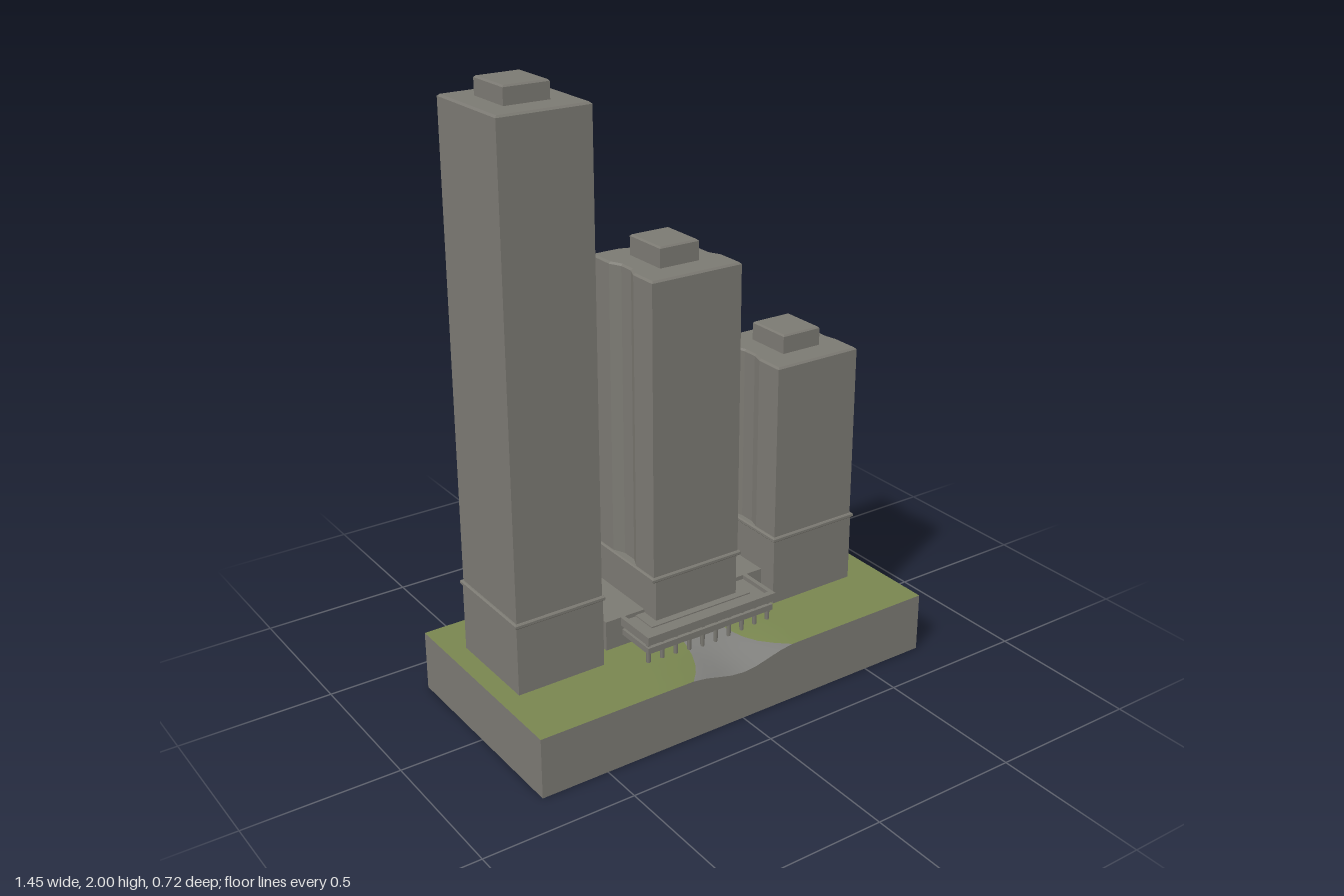
import * as THREE from 'three';

const concrete = new THREE.MeshStandardMaterial({ name: 'concrete', color: 0x7b7972 });
const grass = new THREE.MeshStandardMaterial({ name: 'grass', color: 0x78854f });
const paving = new THREE.MeshStandardMaterial({ name: 'paving', color: 0x80807d });

function add(parent, name, geometry, material = concrete) {
  const mesh = new THREE.Mesh(geometry, material);
  mesh.name = name;
  parent.add(mesh);
  return mesh;
}

// Box given by its limits
function block(parent, name, x0, x1, y0, y1, z0, z1) {
  const geo = new THREE.BoxGeometry(x1 - x0, y1 - y0, z1 - z0);
  geo.translate((x0 + x1) / 2, (y0 + y1) / 2, (z0 + z1) / 2);
  return add(parent, name, geo);
}

// Rectangular floor plan with shallow recesses of given depth in three sides
function plan(x0, x1, z0, z1, { left = 0, right = 0, back = 0 } = {}) {
  const recess = (from, to, nx, ny, depth) => depth === 0 ? [] :
    [[0.3, 0], [0.42, 1], [0.58, 1], [0.7, 0]].map(([t, k]) => new THREE.Vector2(
      from[0] + (to[0] - from[0]) * t + nx * depth * k,
      from[1] + (to[1] - from[1]) * t + ny * depth * k));
  const a = [x0, -z1], b = [x1, -z1], c = [x1, -z0], d = [x0, -z0];
  const v = (p) => new THREE.Vector2(...p);
  return new THREE.Shape([
    v(a), v(b), ...recess(b, c, -1, 0, right),
    v(c), ...recess(c, d, 0, -1, back),
    v(d), ...recess(d, a, 1, 0, left),
  ]);
}

// Plan raised from y0 to y1 with softly bevelled rims
function raise(parent, name, shape, y0, y1, bevel = 0.006) {
  const geo = new THREE.ExtrudeGeometry(shape, {
    depth: y1 - y0 - 2 * bevel, bevelEnabled: true, bevelSegments: 1,
    bevelSize: bevel, bevelOffset: -bevel, bevelThickness: bevel,
  });
  geo.rotateX(-Math.PI / 2).translate(0, y0 + bevel, 0);
  return add(parent, name, geo);
}

// Plinth whose top dips at the middle of the front and back edges
function plinth(parent) {
  const cols = 24, rows = 16, inner = 8;
  const geo = new THREE.BoxGeometry(1.45, 0.2, 0.72, cols, 1, rows);
  const pos = geo.attributes.position;
  const edge = 1.45 * inner / cols / 2;
  for (let i = 0; i < pos.count; i++) {
    const z = pos.getZ(i), u = pos.getX(i), a = Math.abs(u);
    const w = 0.07 + 0.12 * Math.pow(Math.abs(z) / 0.36, 3);
    // inner columns follow the flared path, outer ones share the lawn
    const x = Math.sign(u) * (a <= edge ? a / edge * w
      : w + (a - edge) / (0.725 - edge) * (0.725 - w));
    let y = pos.getY(i) + 0.1;
    if (y > 0.1 && Math.abs(x) < 0.2) {
      y -= 0.035 * Math.cos(Math.PI * x / 0.4) ** 2 * THREE.MathUtils.smoothstep(Math.abs(z), 0.08, 0.36);
    }
    pos.setXYZ(i, x, y, z);
  }
  geo.computeVertexNormals();
  // lawn on either side of the path on the top face
  const faces = geo.groups.map((g) => ({ ...g }));
  geo.clearGroups();
  faces.forEach((g, side) => {
    if (side !== 2) { geo.addGroup(g.start, g.count, 0); return; }
    const lawn = (cols - inner) / 2;
    for (let r = 0; r < rows; r++) {
      const s = g.start + r * cols * 6;
      geo.addGroup(s, lawn * 6, 1);
      geo.addGroup(s + lawn * 6, inner * 6, 2);
      geo.addGroup(s + (lawn + inner) * 6, lawn * 6, 1);
    }
  });
  add(parent, 'plinth', geo, [concrete, grass, paving]);
}

const Z0 = -0.205, Z1 = 0.125;

// Tower: lower storeys, ledge, shaft and roof block
function tower(parent, name, x0, x1, top, cap, capTop, recesses, lowInset = 0) {
  const group = new THREE.Group();
  group.name = name;
  raise(group, 'lowerStoreys', plan(x0 + lowInset, x1 - lowInset, Z0, Z1), 0.18, 0.435);
  raise(group, 'ledge', plan(x0 - 0.006, x1 + 0.006, Z0 - 0.006, Z1 + 0.006), 0.425, 0.441, 0.004);
  raise(group, 'shaft', plan(x0 + 0.002, x1 - 0.002, Z0 + 0.002, Z1 - 0.002, recesses), 0.43, top);
  raise(group, 'roofBlock', plan(cap[0], cap[1], -0.125, 0.035), top - 0.02, capTop, 0.005);
  parent.add(group);
  return group;
}

// Podium with side wings and a colonnade at the front and back
function podium(parent) {
  const group = new THREE.Group();
  group.name = 'podium';
  block(group, 'sideWings', -0.31, 0.295, 0.18, 0.3, -0.145, 0.06);
  block(group, 'hall', -0.2, 0.18, 0.15, 0.29, -0.225, 0.15);
  block(group, 'frontCanopy', -0.25, 0.23, 0.237, 0.257, 0.05, 0.205);
  block(group, 'frontRoof', -0.255, 0.235, 0.272, 0.286, 0.05, 0.213);
  block(group, 'backCanopy', -0.25, 0.23, 0.24, 0.26, -0.25, -0.1);
  block(group, 'backRoof', -0.255, 0.235, 0.272, 0.3, -0.265, -0.1);
  // parapet round the front roof
  block(group, 'parapetFront', -0.255, 0.235, 0.28, 0.3, 0.193, 0.213);
  for (const x of [-0.255, 0.22]) block(group, 'parapetSide', x, x + 0.015, 0.28, 0.3, 0.05, 0.213);
  // columns, with short posts between the two canopy layers
  for (const z of [0.19, -0.235]) {
    for (let i = 0; i < 10; i++) {
      const x = -0.24 + i * 0.0511;
      const column = new THREE.CylinderGeometry(0.008, 0.006, 0.09, 6);
      add(group, 'column', column).position.set(x, 0.2, z);
      block(group, 'post', x - 0.005, x + 0.005, 0.25, 0.276, z - 0.005, z + 0.005);
    }
  }
  parent.add(group);
}

export function createModel() {
  const model = new THREE.Group();
  model.name = 'towerComplex';
  plinth(model);
  podium(model);
  const tall = tower(model, 'tallTower', -0.66, -0.36, 1.945, [-0.585, -0.44], 2.0, {});
  tower(model, 'middleTower', -0.175, 0.15, 1.4, [-0.085, 0.055], 1.465,
    { left: 0.018, right: 0.018, back: 0.014 }, 0.008);
  tower(model, 'shortTower', 0.295, 0.615, 1.028, [0.385, 0.53], 1.09, { left: 0.012, right: 0.008 });

  // small window ledges on the inner side of the tall tower
  for (let r = 0; r < 22; r++) {
    for (const z of [-0.14, -0.08, 0, 0.06]) {
      const y = 0.6 + r * 0.05;
      block(tall, 'windowLedge', -0.363, -0.358, y, y + 0.012, z - 0.008, z + 0.008);
    }
  }
  return model;
}
